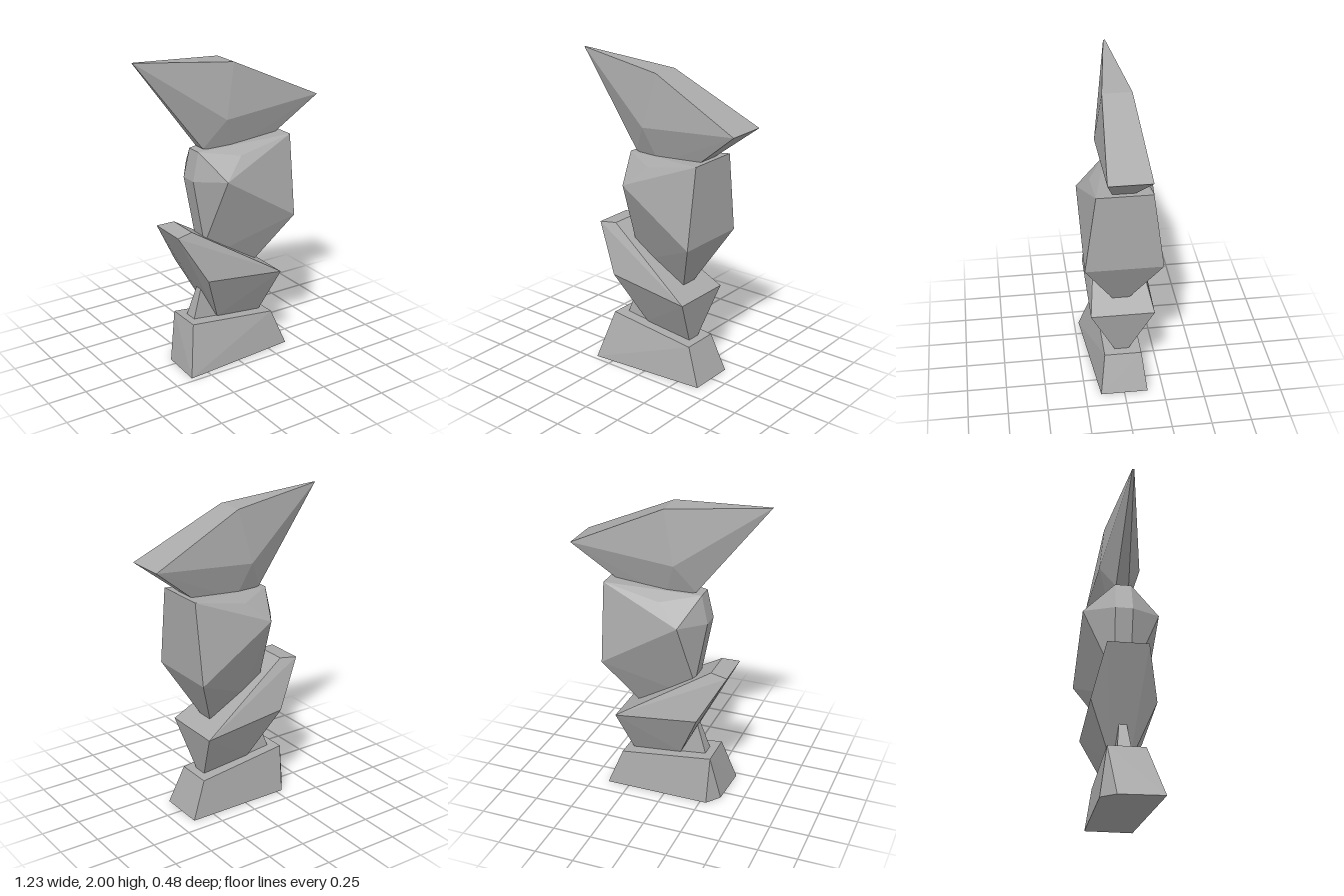
import * as THREE from 'three';
import { ConvexGeometry } from 'three/addons/geometries/ConvexGeometry.js';

const stone = new THREE.MeshStandardMaterial({ color: 0xaaaaaa });
stone.name = 'greyStone';

// Faceted rock from its corner points
function rock(name, corners) {
  const geometry = new ConvexGeometry(corners.map((c) => new THREE.Vector3(...c)));
  const mesh = new THREE.Mesh(geometry, stone);
  mesh.name = name;
  return mesh;
}

// Rock with matching front and back: each [x, y, z] is mirrored across z = 0
const mirrored = (half) => half.flatMap(([x, y, z]) => [[x, y, z], [x, y, -z]]);

export function createModel() {
  const group = new THREE.Group();
  group.name = 'stackedRocks';

  // Tapered foot, with a chamfered rear corner
  group.add(rock('baseRock', [
    [-0.375, 0, 0.22], [0.395, 0, 0.15], [0.395, 0, -0.15],
    [-0.29, 0, -0.15], [-0.36, 0, -0.06],
    [-0.3, 0.31, 0.12], [-0.3, 0.31, -0.11],
    [0.3, 0.24, 0.115], [0.3, 0.24, -0.12],
  ]));

  // Small wedge propping up the second rock
  group.add(rock('propWedge', mirrored([
    [-0.25, 0.29, 0.045], [-0.03, 0.27, 0.045],
    [-0.17, 0.53, 0.02], [-0.08, 0.53, 0.02],
  ])));

  // Tilted rock with a raised end
  group.add(rock('lowerRock', mirrored([
    [-0.405, 0.92, 0.127], [-0.295, 0.93, 0.105],
    [-0.235, 0.62, 0.2], [0.31, 0.555, 0.2],
    [0.25, 0.245, 0.045], [-0.08, 0.285, 0.055],
  ])));

  // Tall middle rock
  group.add(rock('middleRock', mirrored([
    [-0.21, 1.41, 0.05], [0.02, 1.38, 0.17], [0.38, 1.455, 0.17],
    [-0.25, 1.23, 0.055], [-0.12, 1.255, 0.24], [0.375, 0.945, 0.24],
    [-0.17, 0.8, 0.05], [-0.04, 0.74, 0.06], [0.21, 0.62, 0.055],
  ])));

  // Pointed capstone
  group.add(rock('capRock', mirrored([
    [-0.615, 2, 0.006], [0.02, 1.94, 0.09], [0.612, 1.665, 0.13],
    [-0.055, 1.605, 0.13], [-0.24, 1.54, 0.03],
    [-0.17, 1.42, 0.04], [0.02, 1.38, 0.06], [0.34, 1.45, 0.07],
  ])));

  return group;
}
